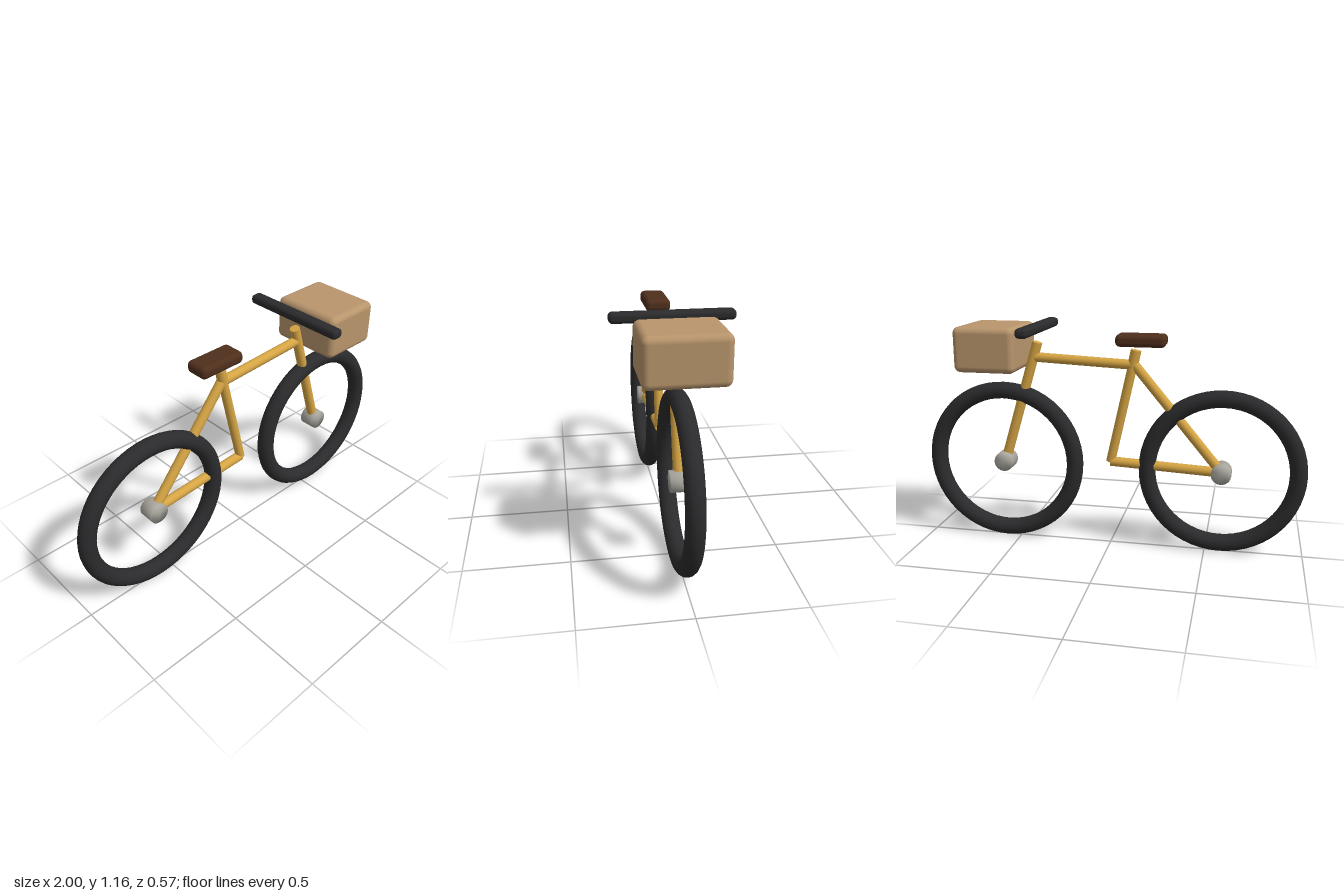
import * as THREE from 'three';
import { RoundedBoxGeometry } from 'three/addons/geometries/RoundedBoxGeometry.js';
import { mergeVertices } from 'three/addons/utils/BufferGeometryUtils.js';

function material(name, color) {
  const m = new THREE.MeshStandardMaterial({ color });
  m.name = name;
  return m;
}

export function createModel() {
  const bike = new THREE.Group();
  bike.name = 'bicycle';
  const rubber = material('black rubber', 0x2b2b2d);
  const paint = material('golden paint', 0xd6a544);
  const leather = material('brown leather', 0x4f2f1c);
  const wicker = material('tan basket', 0xb8956c);
  const metal = material('grey metal', 0xaaa79f);

  function add(name, geometry, mat, x = 0, y = 0, z = 0) {
    const mesh = new THREE.Mesh(geometry, mat);
    mesh.name = name;
    mesh.position.set(x, y, z);
    bike.add(mesh);
    return mesh;
  }

  // Straight frame tube between two points in the centre plane
  function tube(name, [x1, y1], [x2, y2], radius = 0.025) {
    const dx = x2 - x1, dy = y2 - y1;
    const geometry = new THREE.CylinderGeometry(radius, radius, Math.hypot(dx, dy), 16);
    const mesh = add(name, geometry, paint, (x1 + x2) / 2, (y1 + y2) / 2);
    mesh.rotation.z = Math.atan2(dy, dx) - Math.PI / 2;
  }

  // Hub with normals shared across its rims for a soft look
  function hubGeometry() {
    const g = new THREE.CylinderGeometry(0.052, 0.052, 0.085, 16).rotateX(Math.PI / 2);
    g.deleteAttribute('uv');
    g.deleteAttribute('normal');
    const soft = mergeVertices(g);
    soft.computeVertexNormals();
    return soft;
  }

  // Wheels
  const axleX = 0.574, axleY = 0.428;
  for (const [side, x] of [['rear', -axleX], ['front', axleX]]) {
    add(side + 'Tyre', new THREE.TorusGeometry(0.382, 0.044, 16, 56), rubber, x, axleY);
    add(side + 'Hub', hubGeometry(), metal, x, axleY);
  }

  // Frame
  const rear = [-axleX, axleY], crank = [0, 0.455], cluster = [-0.115, 0.975];
  tube('chainStay', rear, crank);
  tube('seatStay', rear, cluster);
  tube('seatTube', crank, cluster, 0.024);
  tube('seatPost', [-0.112, 0.96], [-0.129, 1.04], 0.027);
  tube('topTube', [-0.115, 0.966], [0.393, 0.99]);
  tube('fork', [axleX, axleY], [0.382, 1.067], 0.026);

  // Saddle, handlebar and basket
  add('saddle', new RoundedBoxGeometry(0.252, 0.062, 0.125, 3, 0.024), leather, -0.156, 1.091);
  add('handlebar', new RoundedBoxGeometry(0.064, 0.049, 0.572, 3, 0.02), rubber, 0.378, 1.142);
  add('basket', new RoundedBoxGeometry(0.318, 0.228, 0.38, 4, 0.032), wicker, 0.609, 1.041);

  return bike;
}
